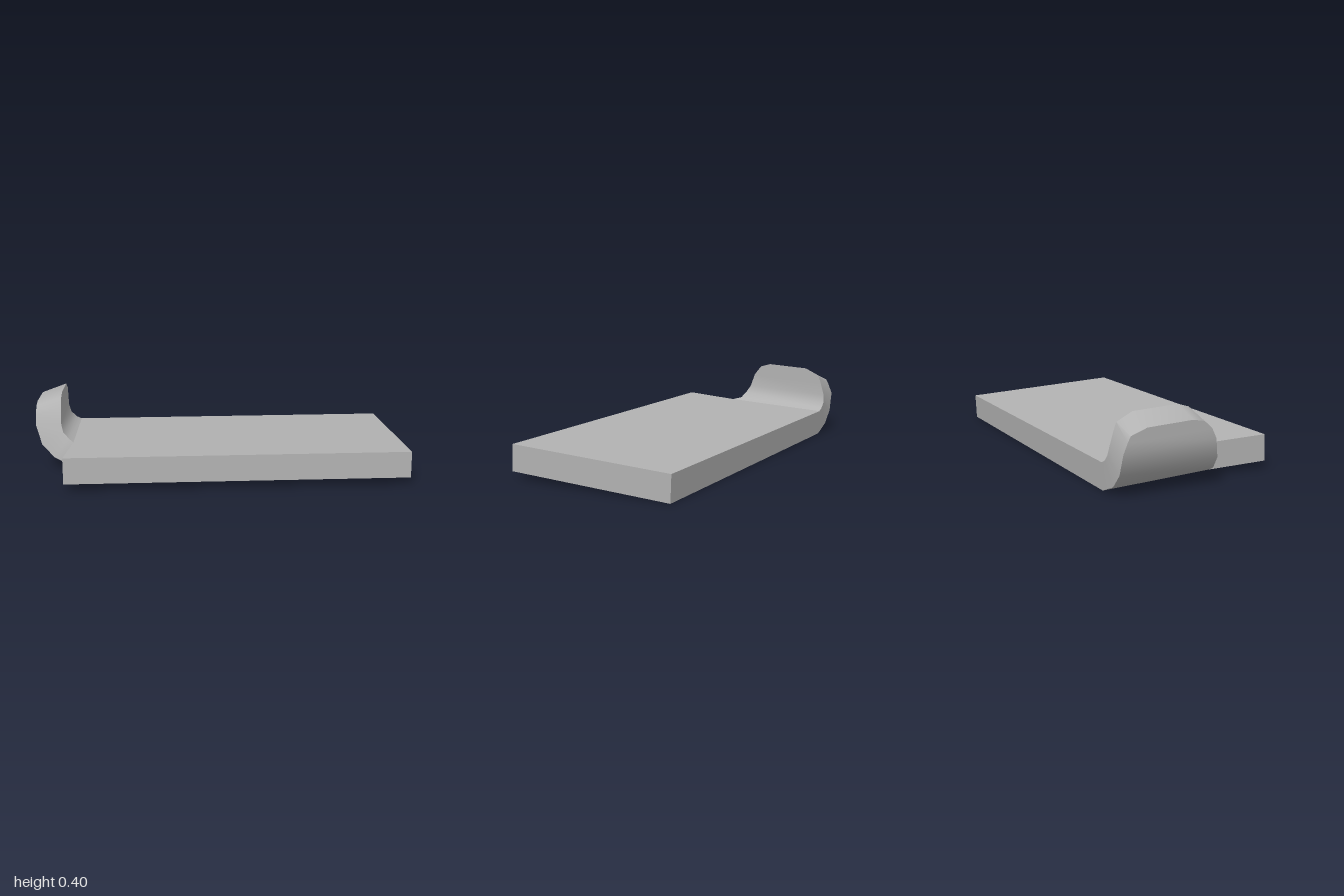
import * as THREE from 'three';
import { toCreasedNormals } from 'three/addons/utils/BufferGeometryUtils.js';

const BOTTOM = 0.02, TOP = 0.16, BACK = -0.454, FRONT = 0.461, JOIN = -0.79;

// Flat slab with a slightly slanted left edge in front of the lip
function slabGeometry() {
  const outline = [[-0.82, FRONT], [1, FRONT], [1, BACK], [JOIN, BACK], [JOIN, 0.137]];
  const shape = new THREE.Shape(outline.map(([x, z]) => new THREE.Vector2(x, -z)));
  const geo = new THREE.ExtrudeGeometry(shape, { depth: TOP - BOTTOM, bevelEnabled: false });
  return geo.rotateX(-Math.PI / 2).translate(0, BOTTOM, 0);
}

// Upturned lip: each section is inner x, y, outer x, y, then front z and back z
function lipGeometry() {
  const sections = [
    [JOIN, TOP, -0.79, BOTTOM, 0.137, BACK],
    [-0.82, 0.174, -0.90, 0.066, 0.095, BACK],
    [-0.85, 0.205, -0.967, 0.138, 0.077, -0.453],
    [-0.862, 0.25, -1, 0.243, 0.052, -0.446],
    [-0.862, 0.324, -1, 0.297, 0.029, -0.421],
    [-0.862, 0.363, -1, 0.325, 0.001, -0.405],
    [-0.862, 0.381, -1, 0.337, -0.013, -0.366],
    [-0.862, 0.402, -1, 0.352, -0.073, -0.318],
  ];
  const positions = [], index = [];
  for (const [xi, yi, xo, yo, zf, zb] of sections) {
    positions.push(xi, yi, zf, xi, yi, zb, xo, yo, zb, xo, yo, zf);
  }
  const last = (sections.length - 1) * 4;
  for (let row = 0; row < last; row += 4) {
    for (let j = 0; j < 4; j++) {
      const a = row + j, b = row + (j + 1) % 4;
      index.push(a, b, a + 4, b, b + 4, a + 4);
    }
  }
  index.push(last, last + 1, last + 2, last, last + 2, last + 3); // top rim
  const geo = new THREE.BufferGeometry();
  geo.setAttribute('position', new THREE.Float32BufferAttribute(positions, 3));
  geo.setIndex(index);
  return toCreasedNormals(geo, 0.75);
}

export function createModel() {
  const grey = new THREE.MeshStandardMaterial({ color: 0xb2b2b2 });
  grey.name = 'plainGrey';

  const tray = new THREE.Group();
  tray.name = 'tiltedPlate';
  const slab = new THREE.Mesh(slabGeometry(), grey);
  slab.name = 'slab';
  const lip = new THREE.Mesh(lipGeometry(), grey);
  lip.name = 'upturnedLip';
  tray.add(slab, lip);
  tray.rotation.x = -0.0437; // front edge sits slightly higher

  const model = new THREE.Group();
  model.name = 'lippedPlate';
  model.add(tray);
  return model;
}
